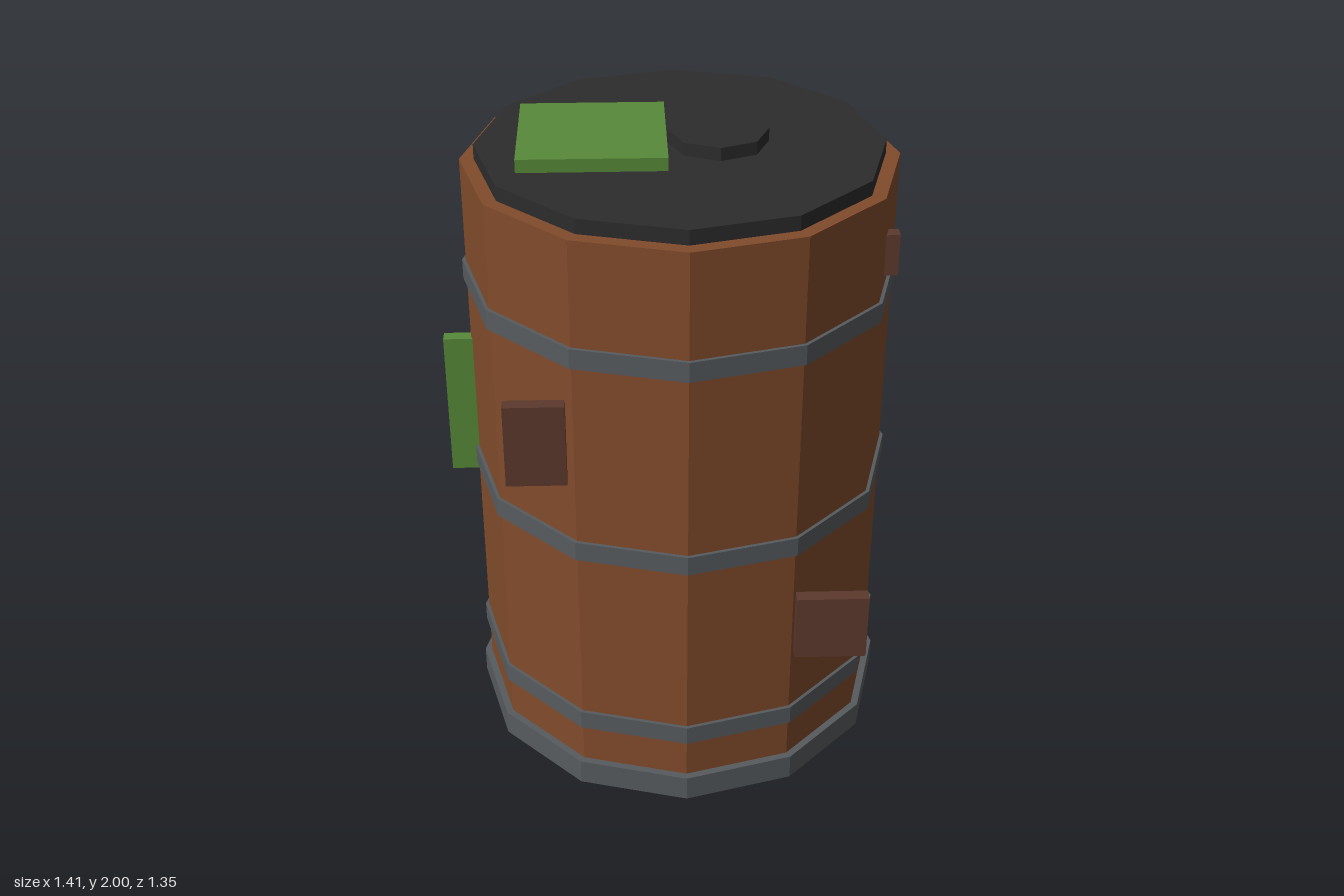
import * as THREE from 'three';

const mat = (name, color) => {
  const m = new THREE.MeshStandardMaterial({ color });
  m.name = name;
  m.flatShading = true;
  return m;
};

export function createModel() {
  const model = new THREE.Group();
  model.name = 'barrel';
  const wood = mat('rust brown', 0x814b2b);
  const metal = mat('steel grey', 0x575b5e);
  const black = mat('charcoal', 0x2c2c2c);
  const moss = mat('moss green', 0x588a39);
  const rust = mat('dark rust', 0x5c392d);

  const add = (name, geometry, material, x, y, z) => {
    const mesh = new THREE.Mesh(geometry, material);
    mesh.name = name;
    mesh.position.set(x, y, z);
    model.add(mesh);
  };
  // faceted drum section between two heights
  const drum = (name, r, y0, y1, material, x = 0.03, sides = 12) =>
    add(name, new THREE.CylinderGeometry(r, r, y1 - y0, sides), material, x, (y0 + y1) / 2, 0);
  // box given by its extents
  const slab = (name, material, [x0, x1], [y0, y1], [z0, z1]) =>
    add(name, new THREE.BoxGeometry(x1 - x0, y1 - y0, z1 - z0), material,
      (x0 + x1) / 2, (y0 + y1) / 2, (z0 + z1) / 2);

  // barrel body, base rim and hoops
  drum('body', 0.65, 0.01, 1.915, wood);
  drum('baseRim', 0.673, 0, 0.085, metal);
  for (let i = 0; i < 3; i++) {
    const y = 0.22 + i * 0.653;
    drum('hoop' + (i + 1), 0.661, y, y + 0.063, metal);
  }

  // lid and bung
  drum('lid', 0.607, 1.91, 1.96, black);
  drum('bung', 0.15, 1.955, 2, black, 0.14, 8);

  // moss patches
  const back = [-0.675, -0.634];
  slab('mossTop', moss, [-0.445, -0.012], [1.96, 2], [-0.218, 0.216]);
  slab('mossSide', moss, [-0.705, -0.6], [0.85, 1.325], [-0.021, 0.021]);
  slab('mossBackLarge', moss, [-0.1, 0.387], [0.55, 1.63], back);
  slab('mossBackTab', moss, [0.285, 0.4], [0.265, 0.61], back);
  slab('mossBackLow', moss, [-0.25, -0.025], [0.035, 0.215], back);

  // rust patches
  slab('rustUpper', rust, [-0.49, -0.315], [1.175, 1.435], [0.585, 0.626]);
  slab('rustLower', rust, [0.356, 0.573], [0.548, 0.765], [0.608, 0.649]);
  slab('rustSide', rust, [0.616, 0.657], [1.633, 1.762], [0.198, 0.24]);

  return model;
}
